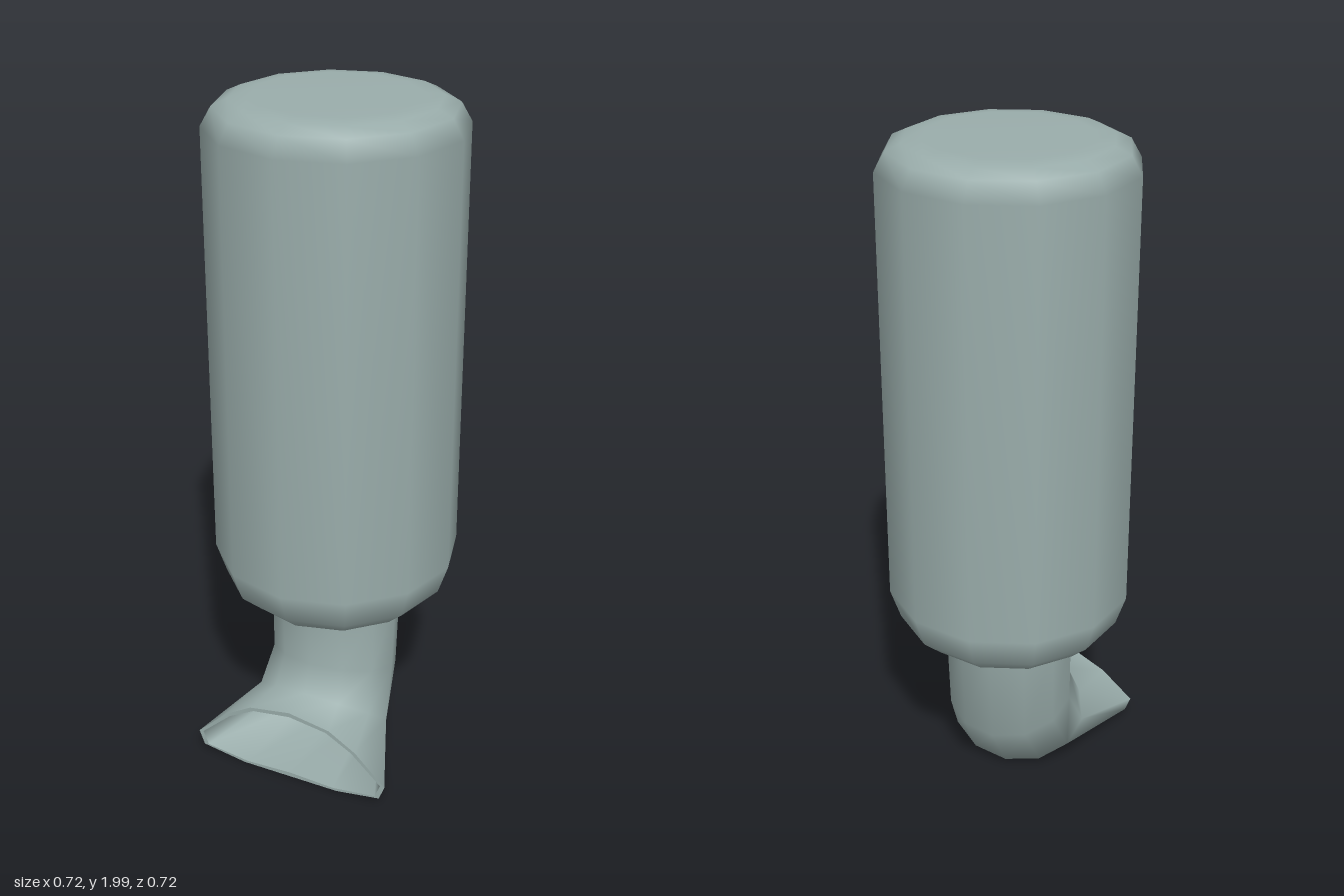
import * as THREE from 'three';

const SIDES = 12;

// Ring tilted in the y-z plane: front point [z, y], back point [z, y], half width in x
function tiltedRing(front, back, halfWidth) {
  const ring = [];
  for (let i = 0; i < SIDES; i++) {
    const a = (i / SIDES) * Math.PI * 2;
    const t = (1 - Math.cos(a)) / 2;
    ring.push(new THREE.Vector3(
      halfWidth * Math.sin(a),
      THREE.MathUtils.lerp(front[1], back[1], t),
      THREE.MathUtils.lerp(front[0], back[0], t)));
  }
  return ring;
}

// Mirrored ring at the mouth, from a half outline running top to bottom
function mouthRing(half, z) {
  const left = half.map(([x, y]) => new THREE.Vector3(x, y, z));
  const right = half.slice(1, -1).reverse().map(([x, y]) => new THREE.Vector3(-x, y, z));
  return [...left, ...right];
}

// Shrinks a ring towards its centre by a wall thickness
function inset(ring, wall) {
  const c = ring.reduce((s, p) => s.add(p), new THREE.Vector3()).divideScalar(SIDES);
  return ring.map((p) => {
    const d = p.clone().sub(c);
    return c.clone().addScaledVector(d, 1 - wall / d.length());
  });
}

// Smooth skin through a run of rings
function loft(rings) {
  const positions = rings.flat().flatMap((p) => [p.x, p.y, p.z]);
  const index = [];
  for (let r = 0; r < rings.length - 1; r++) {
    for (let i = 0; i < SIDES; i++) {
      const j = (i + 1) % SIDES;
      const a = r * SIDES + i, b = r * SIDES + j;
      const c = a + SIDES, d = b + SIDES;
      index.push(a, c, b, b, c, d);
    }
  }
  const geo = new THREE.BufferGeometry();
  geo.setAttribute('position', new THREE.Float32BufferAttribute(positions, 3));
  geo.setIndex(index);
  geo.computeVertexNormals();
  return geo;
}

export function createModel() {
  const group = new THREE.Group();
  group.name = 'canisterWithSpout';
  const greyGreen = new THREE.MeshStandardMaterial({ color: 0x9aadab });
  greyGreen.name = 'greyGreen';

  const add = (name, geometry) => {
    const mesh = new THREE.Mesh(geometry, greyGreen);
    mesh.name = name;
    group.add(mesh);
  };

  // Canister with rounded ends
  const profile = [
    [0, 0.49], [0.19, 0.493], [0.27, 0.517], [0.328, 0.57], [0.358, 0.66],
    [0.358, 1.92], [0.328, 1.973], [0.285, 1.993], [0.23, 2], [0, 2],
  ].map(([r, y]) => new THREE.Vector2(r, y));
  add('canister', new THREE.LatheGeometry(profile, SIDES));

  // Bent neck that flares into a wide flat mouth
  const mouth = mouthRing([
    [0, 0.24], [0.13, 0.218], [0.215, 0.167], [0.31, 0.075],
    [0.293, 0.03], [0.155, 0.008], [0, 0.008],
  ], 0.32);
  const outer = [
    tiltedRing([0.19, 0.5], [-0.19, 0.5], 0.193),
    tiltedRing([0.185, 0.33], [-0.165, 0.2], 0.19),
    tiltedRing([0.22, 0.245], [-0.04, 0.02], 0.21),
    mouth,
  ];
  const inner = outer.map((ring) => inset(ring, 0.014));
  add('spoutOuter', loft(outer));
  add('spoutRim', loft([outer[3], inner[3]]));
  add('spoutInner', loft([...inner].reverse()));

  return group;
}
